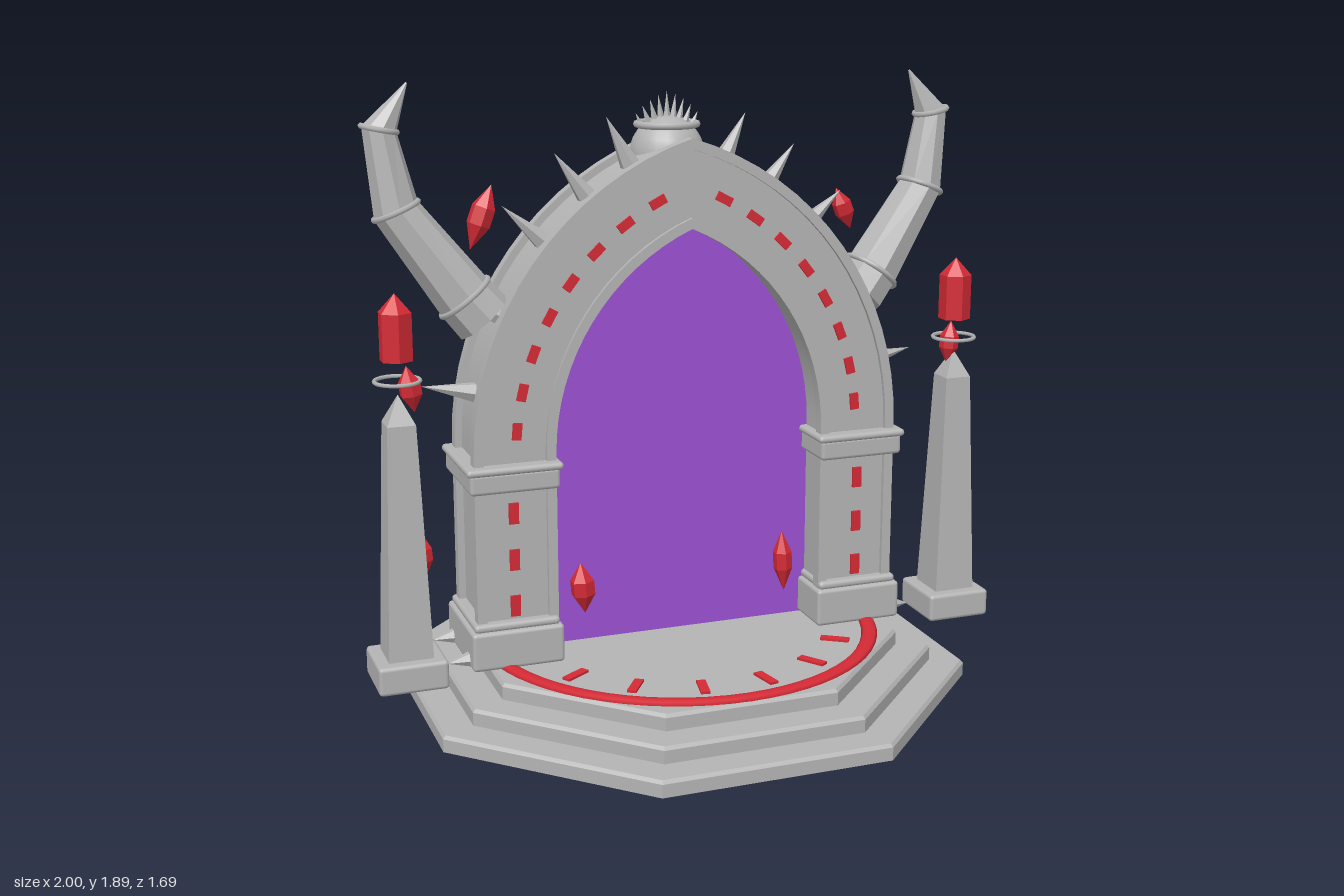
import * as THREE from 'three';
import { toCreasedNormals } from 'three/addons/utils/BufferGeometryUtils.js';
import { RoundedBoxGeometry } from 'three/addons/geometries/RoundedBoxGeometry.js';

const stone = new THREE.MeshStandardMaterial({ name: 'stone', color: 0xb4b4b4 });
const red = new THREE.MeshStandardMaterial({ name: 'glowing red', color: 0xd42a35 });
const purple = new THREE.MeshStandardMaterial({ name: 'portal purple', color: 0x9c52d4 });
const orange = new THREE.MeshStandardMaterial({ name: 'flame orange', color: 0xdc7a20 });

const UP = new THREE.Vector3(0, 1, 0);
const V = (x, y, z) => new THREE.Vector3(x, y, z);
const SPRING = 0.8, OFFSET = 0.275, FLOOR = 0.15;

function flat(geo) {
  const g = geo.index ? geo.toNonIndexed() : geo;
  g.computeVertexNormals();
  return g;
}

function add(parent, name, geo, mat, x = 0, y = 0, z = 0) {
  const m = new THREE.Mesh(geo, mat);
  m.name = name;
  m.position.set(x, y, z);
  parent.add(m);
  return m;
}

const box = (w, h, d) => new THREE.BoxGeometry(w, h, d);
const rounded = (w, h, d) => new RoundedBoxGeometry(w, h, d, 2, 0.012);
const drum = (top, bottom, h, n) => flat(new THREE.CylinderGeometry(top, bottom, h, n));

// Cone whose base centre sits at a point and which points along a direction
function spike(parent, name, base, dir, r, len, mat = stone, sides = 6) {
  const g = flat(new THREE.ConeGeometry(r, len, sides).translate(0, len / 2, 0));
  const m = add(parent, name, g, mat, base.x, base.y, base.z);
  m.quaternion.setFromUnitVectors(UP, dir.clone().normalize());
  return m;
}

// Pointed arch outline of half width w, from right foot over the apex to left foot
function archOutline(w) {
  const R = w + OFFSET, end = Math.acos(OFFSET / R), n = 16;
  const half = [new THREE.Vector2(w, FLOOR)];
  for (let i = 0; i <= n; i++) {
    const a = end * i / n;
    half.push(new THREE.Vector2(R * Math.cos(a) - OFFSET, SPRING + R * Math.sin(a)));
  }
  const other = half.slice(0, -1).reverse().map(p => new THREE.Vector2(-p.x, p.y));
  return [...half, ...other];
}

function extrudeOutline(points, z0, z1) {
  const g = new THREE.ExtrudeGeometry(new THREE.Shape(points), { depth: z1 - z0, bevelEnabled: false });
  return toCreasedNormals(g.translate(0, 0, z0), 0.5);
}

const archBand = (outer, inner, z0, z1) =>
  extrudeOutline([...archOutline(outer), ...archOutline(inner).reverse()], z0, z1);

// Six-sided crystal with points at both ends
function crystal(parent, x, y, z, h, r, tilt) {
  const p = [[0, -0.5 * h], [r, -0.12 * h], [r, 0.15 * h], [0, 0.5 * h]].map(q => new THREE.Vector2(...q));
  add(parent, 'floatingCrystal', flat(new THREE.LatheGeometry(p, 6)), red, x, y, z).rotation.z = tilt;
}

function buildPlatform(g) {
  [0.845, 0.745, 0.645].forEach((r, i) => {
    const k = 1 / Math.cos(Math.PI / 8);
    const tier = drum((r - 0.008) * k, r * k, 0.01, 8), low = drum(r * k, r * k, 0.04, 8);
    add(g, 'platformStep', low, stone, 0, 0.02 + i * 0.05, 0).rotation.y = Math.PI / 8;
    add(g, 'platformStepEdge', tier, stone, 0, 0.045 + i * 0.05, 0).rotation.y = Math.PI / 8;
  });
  const ring = add(g, 'floorRing', new THREE.TorusGeometry(0.613, 0.025, 8, 64), red, 0, FLOOR, 0);
  ring.rotation.x = Math.PI / 2;
  ring.scale.z = 0.5;
  for (let i = 0; i < 16; i++) {
    const a = (i + 0.5) * Math.PI / 8;
    add(g, 'floorRune', box(0.028, 0.009, 0.09), red, 0.51 * Math.sin(a), FLOOR + 0.003, 0.51 * Math.cos(a)).rotation.y = a;
  }
  for (let i = -3; i <= 3; i++) add(g, 'stepRune', box(0.065, 0.009, 0.015), red, i * 0.153, 0.054, -0.79);
}

function buildArch(g) {
  add(g, 'archBody', archBand(0.66, 0.44, -0.125, 0.125), stone);
  for (const [z0, z1] of [[0.1, 0.138], [-0.138, -0.1]]) {
    add(g, 'archOuterTrim', archBand(0.682, 0.652, z0, z1), stone);
    add(g, 'archInnerTrim', archBand(0.46, 0.43, z0, z1), stone);
  }
  // Portal sheet with a smaller pane behind it
  add(g, 'portal', extrudeOutline(archOutline(0.445), -0.005, 0.005), purple);
  const small = archOutline(0.43).map(p => new THREE.Vector2(p.x * 0.66, 0.68 + (p.y - 0.8) * 0.65));
  add(g, 'portalInnerPane', extrudeOutline(small, -0.03, -0.01), purple);

  for (const s of [-1, 1]) {
    // Runes on both faces of the arch and its legs
    for (const z of [-0.128, 0.128]) {
      for (let i = 0; i < 8; i++) {
        const a = THREE.MathUtils.degToRad(5.2 + 8.2 * i);
        const m = add(g, 'archRune', box(0.028, 0.052, 0.009), red,
          s * (0.825 * Math.cos(a) - OFFSET), SPRING + 0.825 * Math.sin(a), z);
        m.rotation.z = s * a;
      }
      for (const y of [0.335, 0.48, 0.625]) add(g, 'pillarRune', box(0.03, 0.065, 0.009), red, s * 0.562, y, z);
      spike(g, 'pillarFootSpike', V(s * 0.69, 0.175, z * 0.8), V(s, -0.1, 0), 0.028, 0.08);
    }
    // Pillar base and capital
    add(g, 'pillarBase', rounded(0.285, 0.12, 0.33), stone, s * 0.562, 0.21, 0);
    add(g, 'pillarBaseLip', rounded(0.265, 0.026, 0.31), stone, s * 0.562, 0.28, 0);
    add(g, 'pillarCapital', rounded(0.275, 0.065, 0.325), stone, s * 0.562, 0.73, 0);
    add(g, 'pillarCapitalLip', rounded(0.295, 0.024, 0.34), stone, s * 0.562, 0.767, 0);
    // Spikes around the outer edge
    for (const deg of [10.7, 25.7, 41.5, 53, 63]) {
      const a = THREE.MathUtils.degToRad(deg), d = V(s * Math.cos(a), Math.sin(a), 0);
      spike(g, 'archSpike', V(s * (0.925 * Math.cos(a) - OFFSET), SPRING + 0.925 * Math.sin(a), 0), d, 0.033, 0.17);
    }
  }
}

// Eight-sided horn bent along a few points, with bands at the joints
function buildHorn(g, s) {
  const pts = [[0.605, 1.195, 0], [0.66, 1.26, -0.01], [0.847, 1.52, -0.05], [0.885, 1.755, -0.065], [0.802, 1.885, -0.06]]
    .map(p => V(s * p[0], p[1], p[2]));
  const radii = [0.092, 0.088, 0.07, 0.052, 0.003], n = pts.length - 1;
  const turns = pts.map((p, i) => {
    const a = p.clone().sub(pts[Math.max(i - 1, 0)]).normalize();
    const b = pts[Math.min(i + 1, n)].clone().sub(p).normalize();
    return new THREE.Quaternion().setFromUnitVectors(UP, a.add(b).normalize());
  });
  const geo = new THREE.CylinderGeometry(1, 1, 1, 8, n), pos = geo.attributes.position;
  for (let k = 0; k < pos.count; k++) {
    const i = Math.round((pos.getY(k) + 0.5) * n);
    const v = V(pos.getX(k) * radii[i], 0, pos.getZ(k) * radii[i]).applyQuaternion(turns[i]).add(pts[i]);
    pos.setXYZ(k, v.x, v.y, v.z);
  }
  add(g, 'horn', flat(geo), stone);
  for (const i of [1, 2, 3]) {
    const t = new THREE.TorusGeometry(radii[i], 0.009, 6, 24).rotateX(Math.PI / 2);
    add(g, 'hornBand', t, stone, pts[i].x, pts[i].y, pts[i].z).quaternion.copy(turns[i]);
  }
}

function buildObelisk(g, s) {
  const o = new THREE.Group();
  o.name = 'obelisk';
  o.position.set(s * 0.895, 0, 0.12);
  g.add(o);
  const q = Math.SQRT2;
  add(o, 'obeliskBase', rounded(0.208, 0.088, 0.208), stone, 0, 0.182, 0);
  add(o, 'obeliskShaft', drum(0.042 * q, 0.067 * q, 0.71, 4), stone, 0, 0.575, 0).rotation.y = Math.PI / 4;
  add(o, 'obeliskTip', drum(0, 0.042 * q, 0.085, 4), stone, 0, 0.9725, 0).rotation.y = Math.PI / 4;
  for (const y of [0.445, 0.615, 0.79]) {
    add(o, 'obeliskRune', box(0.026, 0.085, 0.009), red, 0, y, -0.068 + (y - 0.22) * 0.035).rotation.x = 0.035;
  }
  add(o, 'obeliskRing', new THREE.TorusGeometry(0.066, 0.006, 6, 24), stone, 0, 1.055, 0).rotation.x = Math.PI / 2;
  add(o, 'obeliskCrystal', drum(0.05, 0.05, 0.14, 6), red, 0, 1.185, 0);
  add(o, 'obeliskCrystalTip', drum(0, 0.05, 0.055, 6), red, 0, 1.2825, 0);
}

function buildBrazier(g, s) {
  const b = new THREE.Group();
  b.name = 'brazier';
  b.position.set(s * 0.447, FLOOR, -0.38);
  g.add(b);
  add(b, 'brazierStem', drum(0.045, 0.032, 0.15, 8), stone, 0, 0.075, 0);
  add(b, 'brazierBowl', drum(0.085, 0.055, 0.06, 8), stone, 0, 0.175, 0);
  add(b, 'brazierRing', new THREE.TorusGeometry(0.092, 0.006, 6, 24), stone, 0, 0.21, 0).rotation.x = Math.PI / 2;
  add(b, 'flame', drum(0, 0.058, 0.18, 8), orange, 0, 0.29, 0);
  for (let i = 0; i < 8; i++) {
    const a = i * Math.PI / 4, x = Math.sin(a), z = Math.cos(a);
    spike(b, 'brazierSpike', V(0.075 * x, 0.195, 0.075 * z), V(x * 0.4, 1, z * 0.4), 0.012, 0.05, stone, 4);
    if (i % 2) spike(b, 'smallFlame', V(0.035 * x, 0.2, 0.035 * z), V(x * 0.1, 1, z * 0.1), 0.028, 0.1, orange, 5);
  }
}

// Skull on the apex, facing the back
function buildSkull(g) {
  const k = new THREE.Group();
  k.name = 'skull';
  k.position.set(0, 1.65, -0.088);
  g.add(k);
  add(k, 'cranium', new THREE.SphereGeometry(0.115, 20, 14), stone);
  add(k, 'brow', rounded(0.15, 0.03, 0.04), stone, 0, 0.012, -0.092);
  add(k, 'nose', drum(0, 0.018, 0.045, 4), stone, 0, -0.055, -0.11);
  add(k, 'upperJaw', rounded(0.125, 0.06, 0.09), stone, 0, -0.085, -0.06);
  add(k, 'lowerJaw', rounded(0.115, 0.035, 0.085), stone, 0, -0.135, -0.06);
  for (const s of [-1, 1]) {
    add(k, 'eye', new THREE.SphereGeometry(0.022, 10, 8), red, s * 0.047, -0.022, -0.1);
    add(k, 'cheek', new THREE.SphereGeometry(0.028, 10, 8), stone, s * 0.072, -0.06, -0.07);
  }
  for (let i = -2; i <= 2; i++) spike(k, 'tooth', V(i * 0.023, -0.1, -0.104), V(0, -1, 0), 0.011, 0.04, stone, 5);
  add(k, 'crownBand', new THREE.TorusGeometry(0.092, 0.011, 8, 28), stone, 0, 0.09, 0).rotation.x = Math.PI / 2;
  for (let i = -4; i <= 4; i++) {
    spike(k, 'crownSpike', V(i * 0.02, 0.115 - 0.002 * i * i, 0), V(i * 0.12, 1, 0), 0.011, 0.075 - 0.007 * Math.abs(i), stone, 5);
  }
}

export function createModel() {
  const g = new THREE.Group();
  g.name = 'portalGate';
  buildPlatform(g);
  buildArch(g);
  for (const s of [-1, 1]) {
    buildHorn(g, s);
    buildObelisk(g, s);
    buildBrazier(g, s);
  }
  buildSkull(g);
  // x, y, z, height, radius, tilt
  [[-0.615, 1.5, 0.025, 0.2, 0.036, -0.35], [0.56, 1.465, -0.01, 0.14, 0.03, 0.38],
    [-0.82, 0.5, 0.045, 0.14, 0.028, 0.08], [-0.33, 0.34, 0.06, 0.165, 0.038, 0.08],
    [0.322, 0.365, 0.1, 0.2, 0.03, 0.05], [-0.86, 1.03, 0.13, 0.14, 0.034, 0.15],
    [0.885, 1.035, 0.11, 0.14, 0.03, -0.08]].forEach(c => crystal(g, ...c));
  return g;
}
